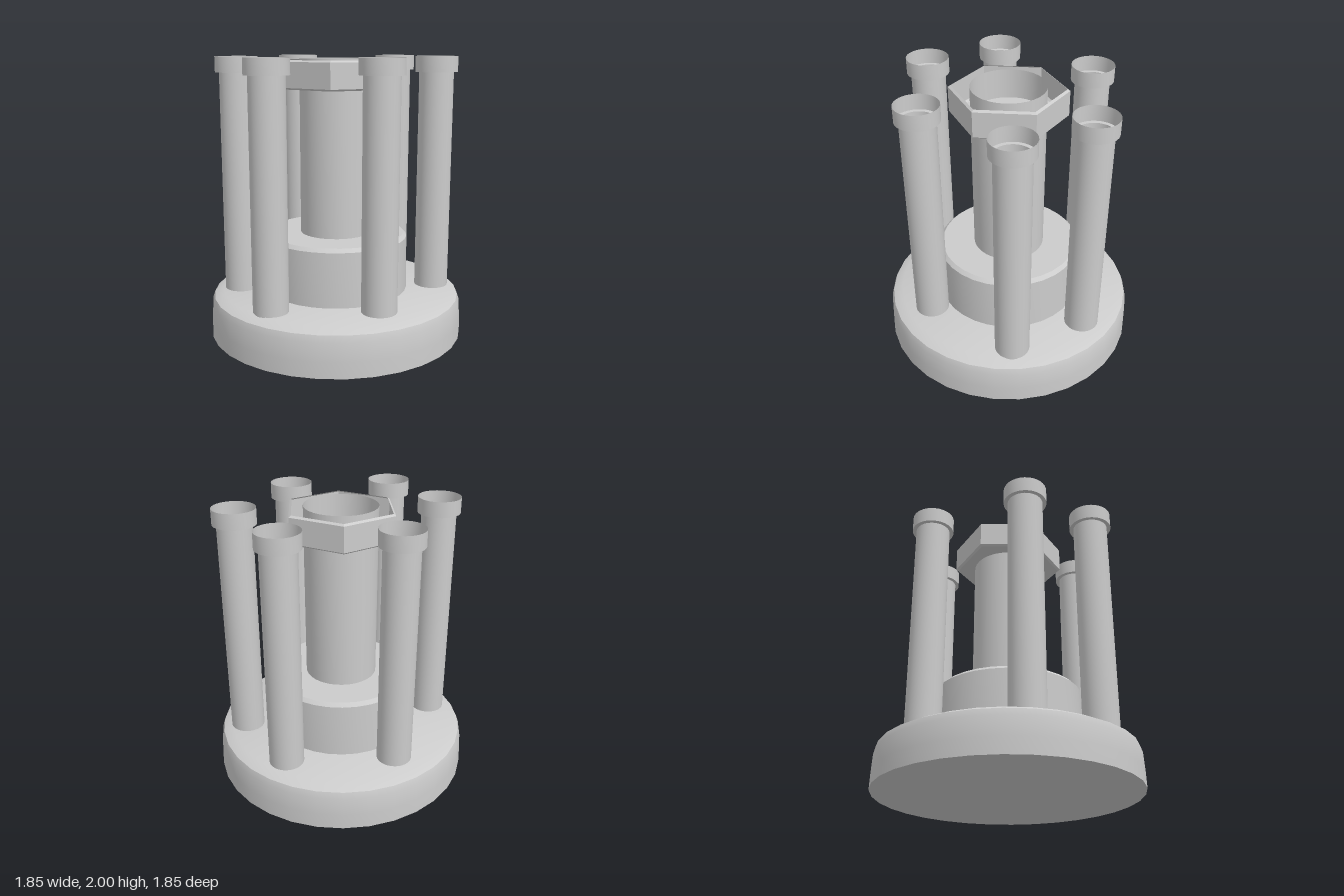
import * as THREE from 'three';
import { toCreasedNormals } from 'three/addons/utils/BufferGeometryUtils.js';

const solid = new THREE.MeshStandardMaterial({ color: 0xcccccc });
const open = new THREE.MeshStandardMaterial({ color: 0xcccccc, side: THREE.DoubleSide });

// Turned part from a list of [radius, height], bottom to top
function turned(name, profile, sides, material, start = 0, crease = 0.65) {
  const points = profile.map(([r, y]) => new THREE.Vector2(r, y));
  const lathe = new THREE.LatheGeometry(points, sides, start);
  const mesh = new THREE.Mesh(toCreasedNormals(lathe, crease), material);
  mesh.name = name;
  return mesh;
}

export function createModel() {
  const model = new THREE.Group();
  model.name = 'flangedHub';

  // Round base with a softened shoulder
  model.add(turned('base', [
    [0, 0], [0.925, 0], [0.922, 0.11], [0.915, 0.24], [0.9, 0.285], [0.83, 0.32], [0, 0.32],
  ], 32, solid));

  // Raised collar with a chamfered top
  model.add(turned('collar', [
    [0.525, 0.32], [0.52, 0.71], [0.495, 0.735], [0, 0.735],
  ], 32, solid));

  // Open central tube
  model.add(turned('centralTube', [[0.257, 0.735], [0.257, 1.985]], 32, open));

  // Hexagonal nut: floor, bevelled wall and open top with a narrow rim
  const nut = turned('hexNut', [
    [0, 1.775], [0.385, 1.775], [0.403, 1.787], [0.403, 1.963], [0.385, 1.975],
  ], 6, open, Math.PI / 2, 0.3);
  nut.rotation.y = THREE.MathUtils.degToRad(-2);
  model.add(nut);

  // Six hollow posts, each flaring into an open cup
  const places = [
    [0, 0.645], [0, -0.655],
    [0.645, 0.308], [-0.645, 0.308],
    [0.645, -0.263], [-0.645, -0.263],
  ];
  for (const [x, z] of places) {
    const post = turned('post', [
      [0.122, 0.315], [0.122, 1.89], [0.15, 1.89], [0.15, 2],
    ], 32, open);
    post.position.set(x, 0, z);
    model.add(post);
  }

  return model;
}
